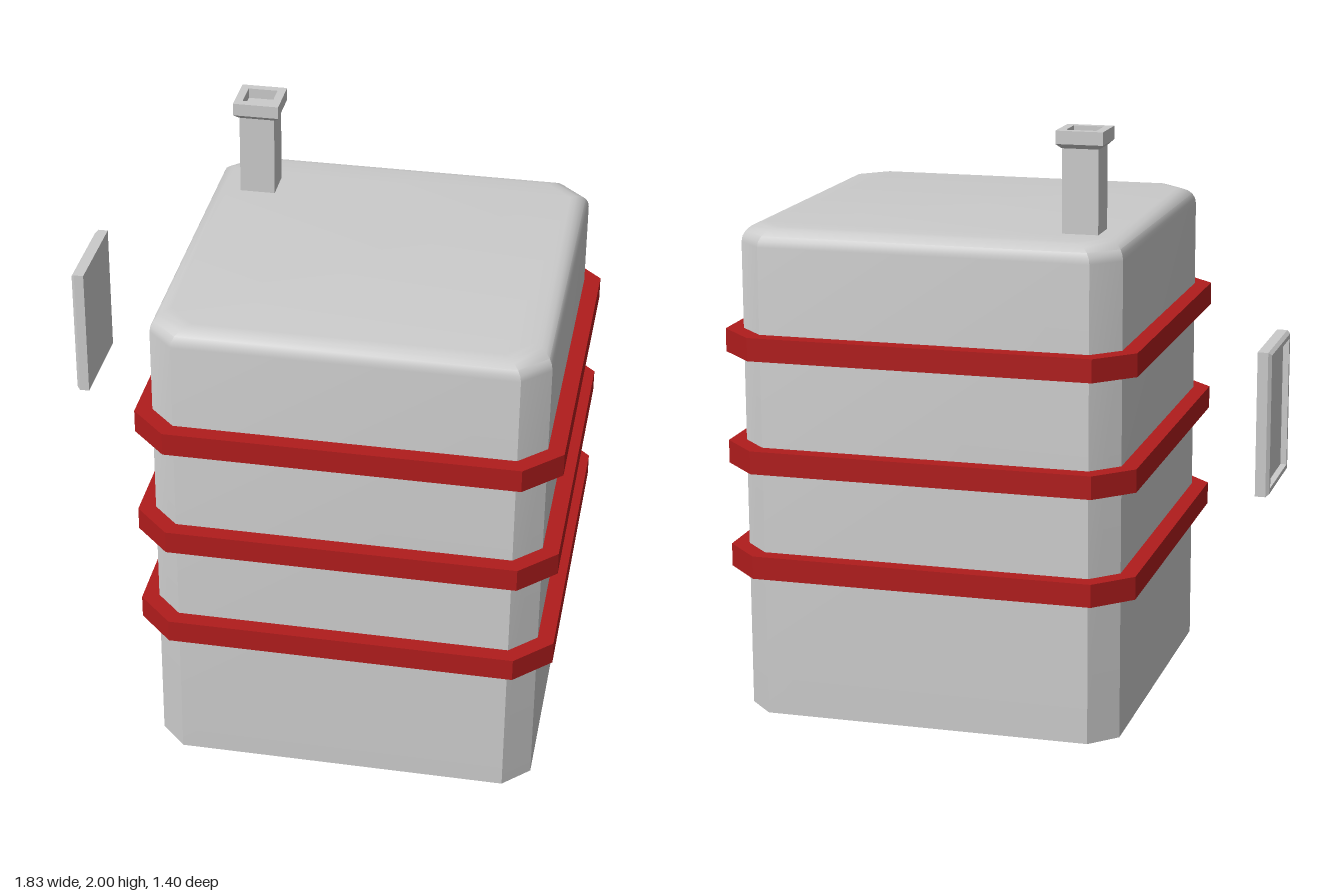
import * as THREE from 'three';
import { toCreasedNormals } from 'three/addons/utils/BufferGeometryUtils.js';

// Rectangle outline with optional cut corners, counter-clockwise from above
function outline(a, b, cut) {
  if (!cut) return [[a, -b], [-a, -b], [-a, b], [a, b]];
  const p = a - cut, q = b - cut;
  return [[a, -q], [p, -b], [-p, -b], [-a, -q], [-a, q], [-p, b], [p, b], [a, q]];
}

// Closed loft through stacked outlines; each ring is [halfX, halfZ, y]
function loft(rings, cut = 0) {
  const n = cut ? 8 : 4;
  const positions = [], index = [];
  for (const [a, b, y] of rings) {
    for (const [x, z] of outline(a, b, cut)) positions.push(x, y, z);
  }
  const last = (rings.length - 1) * n;
  for (let r = 0; r < last; r += n) {
    for (let i = 0; i < n; i++) {
      const j = (i + 1) % n;
      index.push(r + i, r + j, r + n + j, r + i, r + n + j, r + n + i);
    }
  }
  for (let i = 1; i < n - 1; i++) {
    index.push(0, i + 1, i, last, last + i, last + i + 1);
  }
  const geometry = new THREE.BufferGeometry();
  geometry.setAttribute('position', new THREE.Float32BufferAttribute(positions, 3));
  geometry.setIndex(index);
  return toCreasedNormals(geometry, 0.6);
}

export function createModel() {
  const model = new THREE.Group();
  const grey = new THREE.MeshStandardMaterial({ color: 0xcccccc });
  const red = new THREE.MeshStandardMaterial({ color: 0xb01c1c });

  function add(name, geometry, material, x, y, z) {
    const mesh = new THREE.Mesh(geometry, material);
    mesh.name = name;
    mesh.position.set(x, y, z);
    model.add(mesh);
    return mesh;
  }

  // Tower body with cut corners and a rounded top edge
  const centreX = 0.213, half = 0.645, round = 0.06, top = 1.665;
  const bodyRings = [[half, half, 0]];
  for (let i = 0; i <= 5; i++) {
    const t = (i / 5) * Math.PI / 2;
    const h = half - round * (1 - Math.cos(t));
    bodyRings.push([h, h, top - round * (1 - Math.sin(t))]);
  }
  add('body', loft(bodyRings, 0.088), grey, centreX, 0, 0);

  // Three red bands around the body
  const band = loft([[0.7, 0.7, -0.039], [0.7, 0.7, 0.039]], 0.12);
  [0.53, 0.892, 1.275].forEach((y, i) => add('band' + (i + 1), band, red, centreX, y, 0));

  // Chimney shaft and hollowed cap
  const shaft = loft([[0.06, 0.06, 1.6], [0.06, 0.06, 1.955]]);
  add('chimneyShaft', shaft, grey, -0.266, 0, -0.399);
  const cap = loft([
    [0.062, 0.062, 1.942], [0.078, 0.078, 1.957], [0.078, 0.078, 2],
    [0.05, 0.05, 2], [0.05, 0.05, 1.965],
  ]);
  add('chimneyCap', cap, grey, -0.266, 0, -0.399);

  // Detached window: bevelled frame with a recessed pane facing -x
  const frame = loft([
    [0.236, 0.172, 0], [0.236, 0.172, 0.034], [0.227, 0.163, 0.045],
    [0.212, 0.148, 0.045], [0.212, 0.148, 0.025],
  ]);
  add('windowPanel', frame, grey, -0.87, 1.1, -0.388).rotation.z = Math.PI / 2;

  return model;
}
